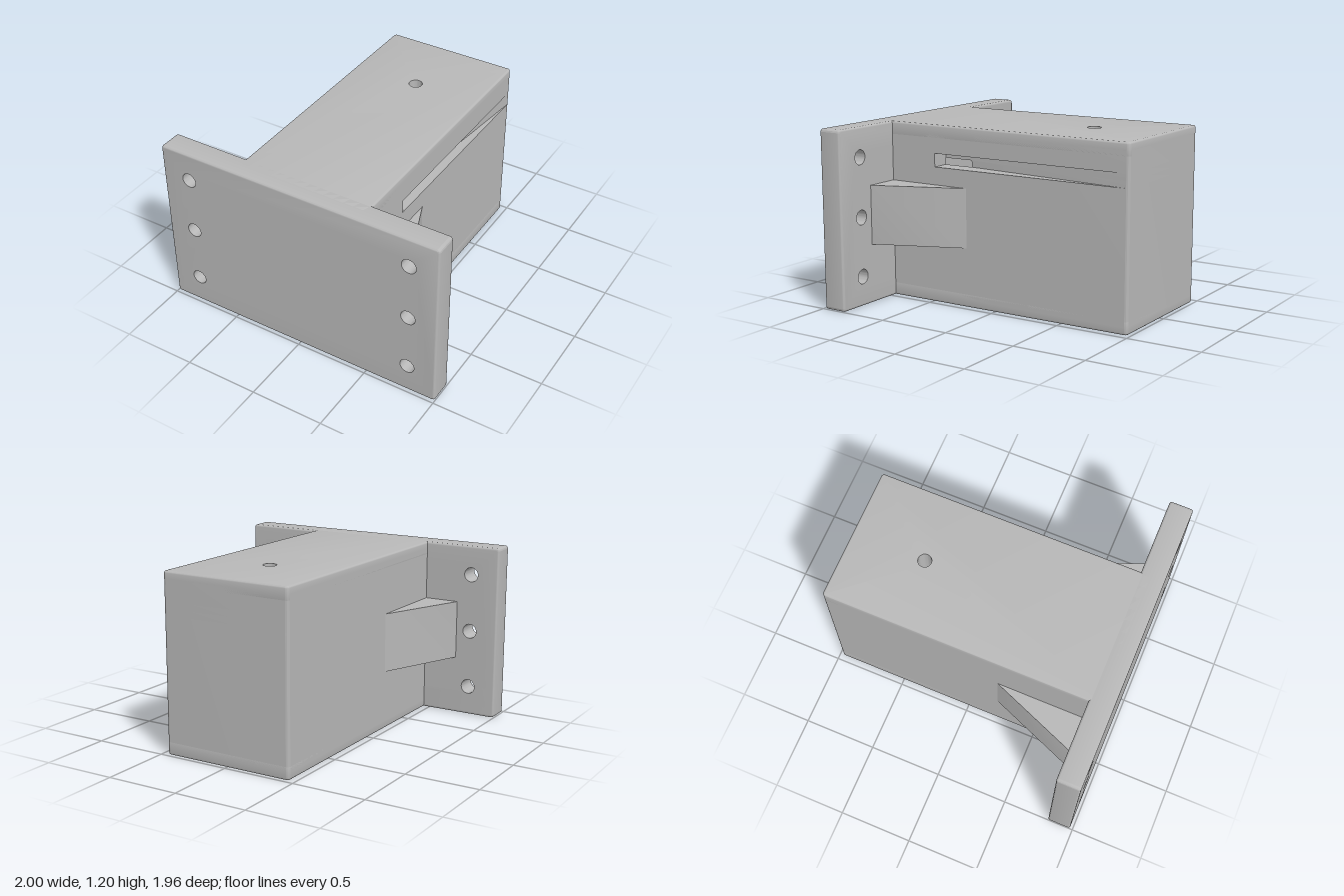
import * as THREE from 'three';
import { toCreasedNormals } from 'three/addons/utils/BufferGeometryUtils.js';

const B = 0.014;                                   // edge rounding
const HALF = 0.46, BACK = 0.98, FRONT = -0.9;      // housing footprint, plan v = -z
const CAV = { x: 0.335, back: 0.925, front: -0.755 };
const SLOT = { a: -0.26, b: -0.47 };               // side slot, plan v
const SCREW = { x: 0, y: 0.475, r: 0.045 };

const circle = (c, extra = 0) => new THREE.Path().absarc(c.x, c.y, c.r + extra, 0, Math.PI * 2, true);

// Housing plan; inner points close the outline through the side slot
function plan(inset, r, inner = []) {
  const x = HALF - inset, t = BACK - inset, f = FRONT + inset, q = Math.PI / 2;
  const s = new THREE.Shape();
  s.moveTo(x, SLOT.a);
  s.absarc(x - r, t - r, r, 0, q);
  s.absarc(-x + r, t - r, r, q, 2 * q);
  s.absarc(-x + r, f + r, r, 2 * q, 3 * q);
  s.absarc(x - r, f + r, r, 3 * q, 4 * q);
  s.lineTo(x, SLOT.b);
  inner.forEach(([u, v]) => s.lineTo(u, v));
  return s;
}

function cavityPath() {
  const { x, back, front } = CAV;
  return new THREE.Path([[x, front], [-x, front], [-x, back], [x, back]].map(p => new THREE.Vector2(...p)));
}

// Extrusion of total height h; rounded outer edges if asked, crisp holes by rule
function solid(shape, h, rounded = false, holes = [], cavity = false) {
  holes.forEach(c => shape.holes.push(circle(c, rounded ? B : 0)));
  if (cavity) shape.holes.push(cavityPath());
  const g = new THREE.ExtrudeGeometry(shape, {
    depth: rounded ? h - 2 * B : h, bevelEnabled: rounded, bevelSize: B,
    bevelThickness: B, bevelSegments: 3, curveSegments: 20,
  });
  if (rounded) {
    g.translate(0, 0, B);
    const p = g.attributes.position;
    for (let i = 0; i < p.count; i++) {
      const u = p.getX(i), v = p.getY(i);
      for (const c of holes) {
        const d = Math.hypot(u - c.x, v - c.y);
        if (d < c.r + 2 * B) p.setXY(i, c.x + (u - c.x) * c.r / d, c.y + (v - c.y) * c.r / d);
      }
      if (cavity && Math.abs(u) < CAV.x + 0.03 && v < CAV.back + 0.02 && v > CAV.front - 0.03)
        p.setXY(i, Math.sign(u) * CAV.x, v > 0 ? CAV.back : CAV.front);
    }
  }
  return toCreasedNormals(g, 0.6);
}

export function createModel() {
  const group = new THREE.Group();
  const grey = new THREE.MeshStandardMaterial({ color: 0xb8b8b8 });
  grey.name = 'light grey';
  const add = (name, geometry) => {
    const m = new THREE.Mesh(geometry, grey);
    m.name = name;
    group.add(m);
    return m;
  };
  const upright = (name, geometry, y) => {
    geometry.rotateX(-Math.PI / 2).translate(0, y, 0);
    return add(name, geometry);
  };

  // Mounting plate with six screw holes
  const plate = new THREE.Shape();
  const px = 1 - B, r = B / 2, q = Math.PI / 2;
  plate.absarc(px - r, 1.2 - B - r, r, 0, q);
  plate.absarc(-px + r, 1.2 - B - r, r, q, 2 * q);
  plate.absarc(-px + r, B + r, r, 2 * q, 3 * q);
  plate.absarc(px - r, B + r, r, 3 * q, 4 * q);
  const screws = [];
  for (const x of [-0.8, 0.8]) for (const y of [0.2, 0.6, 1]) screws.push({ x, y, r: 0.05 });
  add('mountingPlate', solid(plate, 0.16, true, screws).translate(0, 0, 0.82));

  // Housing, stacked from rim to roof, open underneath
  const R = 1.5 * B, c = CAV;
  const throughSlot = [[c.x, SLOT.b], [c.x, c.front], [-c.x, c.front], [-c.x, c.back], [c.x, c.back], [c.x, SLOT.a]];
  const blindSlot = [[c.x, SLOT.b], [c.x, SLOT.a]];
  upright('housingRim', solid(plan(B, r), 0.1, true, [], true), 0);
  upright('housingWalls', solid(plan(0, R), 0.87, false, [], true), 0.05);
  upright('slotLower', solid(plan(0, R, throughSlot), 0.045), 0.92);
  upright('slotUpper', solid(plan(0, R, blindSlot), 0.045, false, [SCREW]), 0.965);
  upright('housingRoof', solid(plan(0, R), 0.14, false, [SCREW]), 1.01);
  upright('housingTop', solid(plan(B, r), 0.1, true, [SCREW]), 1.1);

  // Ledge inside the front of the cavity, with two blind screw holes
  const ledge = new THREE.Shape([[-0.34, -0.77], [0.34, -0.77], [0.34, -0.58], [-0.34, -0.58]]
    .map(p => new THREE.Vector2(...p)));
  const ledgeHoles = [-0.19, 0.19].map(x => ({ x, y: -0.67, r: 0.035 }));
  upright('innerLedge', solid(ledge, 0.65, false, ledgeHoles), 0.32);

  // Side gussets
  for (const s of [-1, 1]) {
    const tri = new THREE.Shape([[0.45, -0.195], [0.7, -0.82], [0.7, -0.84], [0.45, -0.84]]
      .map(([x, v]) => new THREE.Vector2(s * x, v)));
    upright(s > 0 ? 'leftGusset' : 'rightGusset', solid(tri, 0.4), 0.4);
  }
  return group;
}
